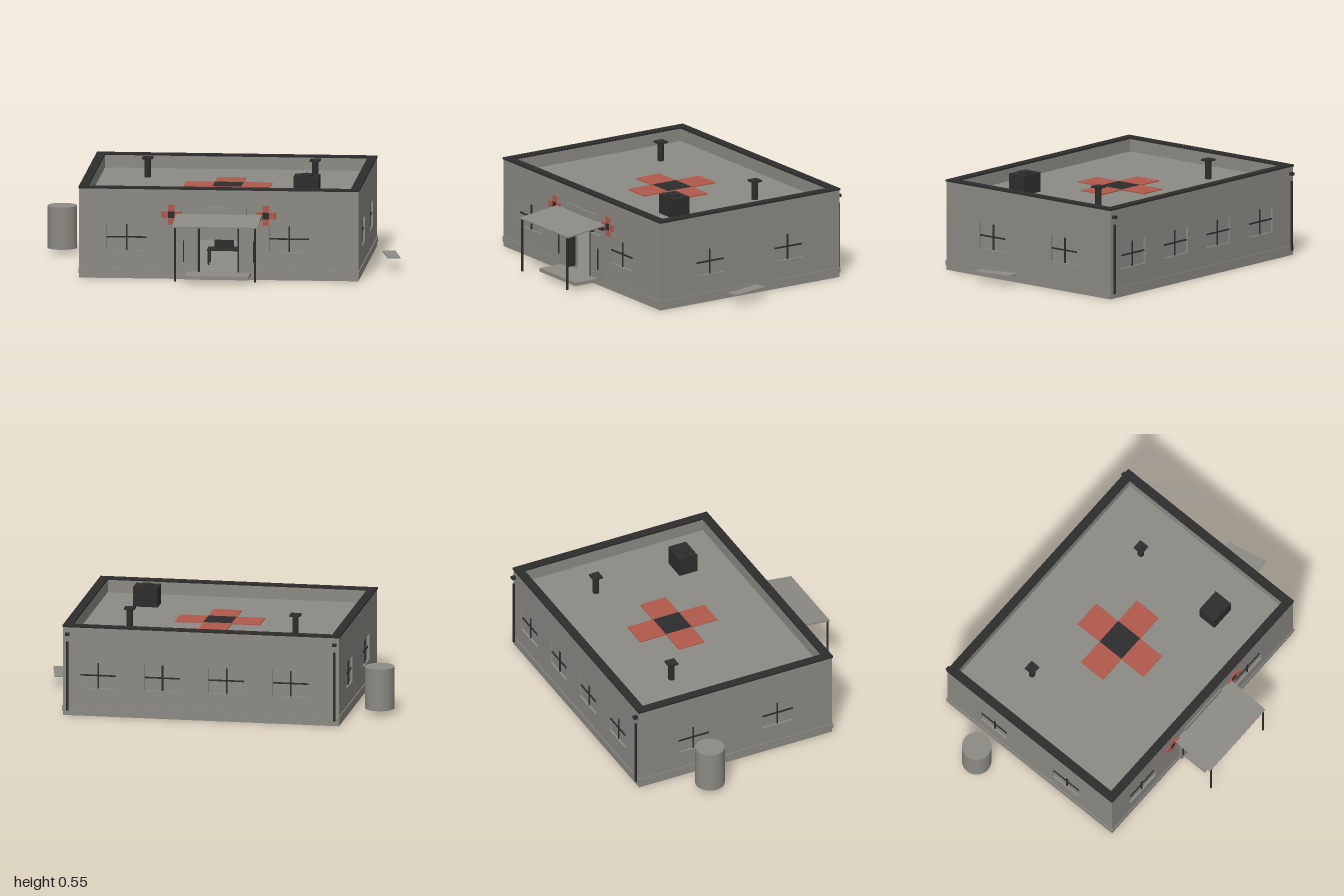
import * as THREE from 'three';

export function createModel() {
  const model = new THREE.Group();
  const mat = (name, color) => {
    const m = new THREE.MeshStandardMaterial({ color });
    m.name = name;
    return m;
  };
  const grey = mat('concreteGrey', 0x8c8a84);
  const dark = mat('darkMetal', 0x2d2d2d);
  const red = mat('crossRed', 0xb2594c);

  const add = (name, geo, material, x = 0, y = 0, z = 0, parent = model) => {
    const m = new THREE.Mesh(geo, material);
    m.name = name;
    m.position.set(x, y, z);
    parent.add(m);
    return m;
  };
  // Box given by its lower and upper limits
  const box = (name, material, x0, x1, y0, y1, z0, z1, parent = model) =>
    add(name, new THREE.BoxGeometry(x1 - x0, y1 - y0, z1 - z0), material,
      (x0 + x1) / 2, (y0 + y1) / 2, (z0 + z1) / 2, parent);
  const rectPath = (P, x0, x1, y0, y1) => {
    const p = new P();
    p.moveTo(x0, y0);
    p.lineTo(x1, y0);
    p.lineTo(x1, y1);
    p.lineTo(x0, y1);
    p.closePath();
    return p;
  };

  const CX = 0.022, CZ = -0.117, HW = 0.774, HD = 0.597;
  const T = 0.045, TOP = 0.5, ROOF = 0.43;
  const WY0 = 0.157, WY1 = 0.303;

  // Wall with its outer face on local z = 0, windows and an optional doorway
  function wall(name, half, windows, winWidth, door) {
    const g = new THREE.Group();
    g.name = name;
    const outline = rectPath(THREE.Shape, -half, half, 0.03, TOP);
    const h = winWidth / 2;
    for (const w of windows) outline.holes.push(rectPath(THREE.Path, w - h, w + h, WY0, WY1));
    if (door) outline.holes.push(rectPath(THREE.Path, door[0], door[1], 0.0305, door[2]));
    add('wallPanel', new THREE.ExtrudeGeometry(outline, { depth: T, bevelEnabled: false }), grey, 0, 0, -T, g);
    for (const w of windows) {
      box('windowPane', grey, w - h, w + h, WY0, WY1, -0.022, -0.012, g);
      box('windowMullion', dark, w - 0.004, w + 0.004, WY0, WY1, -0.012, -0.006, g);
      box('windowTransom', dark, w - h, w + h, 0.226, 0.234, -0.012, -0.006, g);
    }
    model.add(g);
    return g;
  }

  const front = wall('frontWall', HW, [-0.512, 0.39], 0.22, [-0.107, 0.108, 0.3]);
  front.position.set(CX, 0, CZ + HD);
  const back = wall('backWall', HW, [-0.578, -0.218, 0.142, 0.502], 0.2);
  back.position.set(CX, 0, CZ - HD);
  back.rotation.y = Math.PI;
  for (const s of [-1, 1]) {
    const side = wall(s > 0 ? 'leftWall' : 'rightWall', HD - T, [-0.262 * s, 0.258 * s], 0.19);
    side.position.set(CX + s * HW, 0, CZ);
    side.rotation.y = s * Math.PI / 2;
  }

  // Floor, roof deck and plinth moulding
  box('floorSlab', grey, CX - HW, CX + HW, 0, 0.03, CZ - HD, CZ + HD);
  box('roofDeck', grey, CX - HW + T, CX + HW - T, ROOF - 0.03, ROOF, CZ - HD + T, CZ + HD - T);
  for (const s of [-1, 1]) {
    const x = CX + s * (HW + 0.002), z = CZ + s * (HD + 0.002);
    box('plinthSide', grey, x - 0.003, x + 0.003, 0.025, 0.055, CZ - HD - 0.004, CZ + HD + 0.004);
    if (s < 0) box('plinthBack', grey, CX - HW, CX + HW, 0.025, 0.055, z - 0.003, z + 0.003);
  }
  box('plinthFrontRight', grey, CX - HW, -0.09, 0.025, 0.055, 0.479, 0.484);
  box('plinthFrontLeft', grey, 0.135, CX + HW, 0.025, 0.055, 0.479, 0.484);

  // Dark coping around the parapet
  const coping = rectPath(THREE.Shape, -HW - 0.004, HW + 0.004, -HD - 0.004, HD + 0.004);
  coping.holes.push(rectPath(THREE.Path, -HW + T, HW - T, -HD + T, HD - T));
  add('parapetCoping', new THREE.ExtrudeGeometry(coping, { depth: 0.01, bevelEnabled: false }),
    dark, CX, TOP, CZ).rotation.x = -Math.PI / 2;

  // Flat cross of four red squares around a dark one
  function cross(name, size, depth) {
    const g = new THREE.Group();
    g.name = name;
    const square = new THREE.BoxGeometry(size, size, depth);
    add('crossCentre', square, dark, 0, 0, 0, g);
    for (const [x, y] of [[1, 0], [-1, 0], [0, 1], [0, -1]])
      add('crossArm', square, red, x * size, y * size, 0, g);
    model.add(g);
    return g;
  }
  const roofCross = cross('roofCross', 0.159, 0.006);
  roofCross.position.set(CX, ROOF + 0.003, -0.12);
  roofCross.rotation.x = -Math.PI / 2;
  for (const x of [-0.241, 0.283]) cross('wallCross', 0.037, 0.008).position.set(x, 0.36, 0.484);

  // Roof vents
  for (const x of [-0.445, 0.485]) {
    add('ventPipe', new THREE.CylinderGeometry(0.018, 0.018, 0.11, 16), dark, x, ROOF + 0.055, -0.36);
    box('ventCap', dark, x - 0.029, x + 0.029, 0.532, 0.542, -0.389, -0.331);
  }
  // Air conditioning unit
  box('coolingUnit', dark, 0.415, 0.555, ROOF, 0.54, 0.123, 0.232);
  add('coolingFan', new THREE.CylinderGeometry(0.036, 0.036, 0.01, 24), dark, 0.485, 0.544, 0.178);

  // Porch: canopy, beam, posts, step and sign board
  const canopy = add('canopy', new THREE.BoxGeometry(0.475, 0.007, 0.257), grey, CX, 0.346, 0.607);
  canopy.rotation.x = 0.125;
  box('canopyBeam', dark, -0.21, 0.255, 0.333, 0.347, 0.48, 0.505);
  for (const x of [-0.2, 0.244])
    add('canopyPost', new THREE.CylinderGeometry(0.006, 0.006, 0.305, 10), dark, x, 0.18, 0.728);
  box('entranceStep', grey, -0.155, 0.2, 0.024, 0.043, 0.48, 0.645);
  box('signBoard', grey, -0.135, 0.175, 0.363, 0.402, 0.48, 0.488);

  // Door frame and two leaves folded back against the wall
  box('doorLintel', dark, -0.1, 0.145, 0.298, 0.307, 0.478, 0.5);
  for (const s of [-1, 1]) {
    const x = CX + s * 0.11;
    box('doorJamb', dark, x - 0.004, x + 0.004, 0.043, 0.3, 0.45, 0.5);
    const a = CX + s * 0.16;
    box('doorLeaf', grey, a - 0.045, a + 0.045, 0.045, 0.296, 0.486, 0.502);
    box('doorHandle', dark, CX + s * 0.194 - 0.003, CX + s * 0.194 + 0.003, 0.1, 0.22, 0.502, 0.508);
  }

  // Reception desk
  box('deskTop', dark, -0.07, 0.115, 0.108, 0.116, 0.06, 0.17);
  for (const x of [-0.062, 0.107]) for (const z of [0.068, 0.162])
    box('deskLeg', dark, x - 0.005, x + 0.005, 0.03, 0.108, z - 0.005, z + 0.005);
  box('deskScreen', dark, -0.032, 0.075, 0.116, 0.16, 0.1, 0.115);

  // Downpipes at the back corners
  for (const x of [-0.728, 0.772]) {
    add('downpipe', new THREE.CylinderGeometry(0.007, 0.007, 0.39, 10), dark, x, 0.225, -0.725);
    box('downpipeHead', dark, x - 0.011, x + 0.011, 0.454, 0.47, -0.737, -0.713);
  }

  // Water tank and loose plank beside the building
  add('waterTank', new THREE.CylinderGeometry(0.082, 0.082, 0.237, 32), grey, -0.918, 0.147, -0.36);
  add('plank', new THREE.BoxGeometry(0.071, 0.006, 0.235), grey, 0.939, 0.074, 0).rotation.y = 0.206;

  return model;
}
